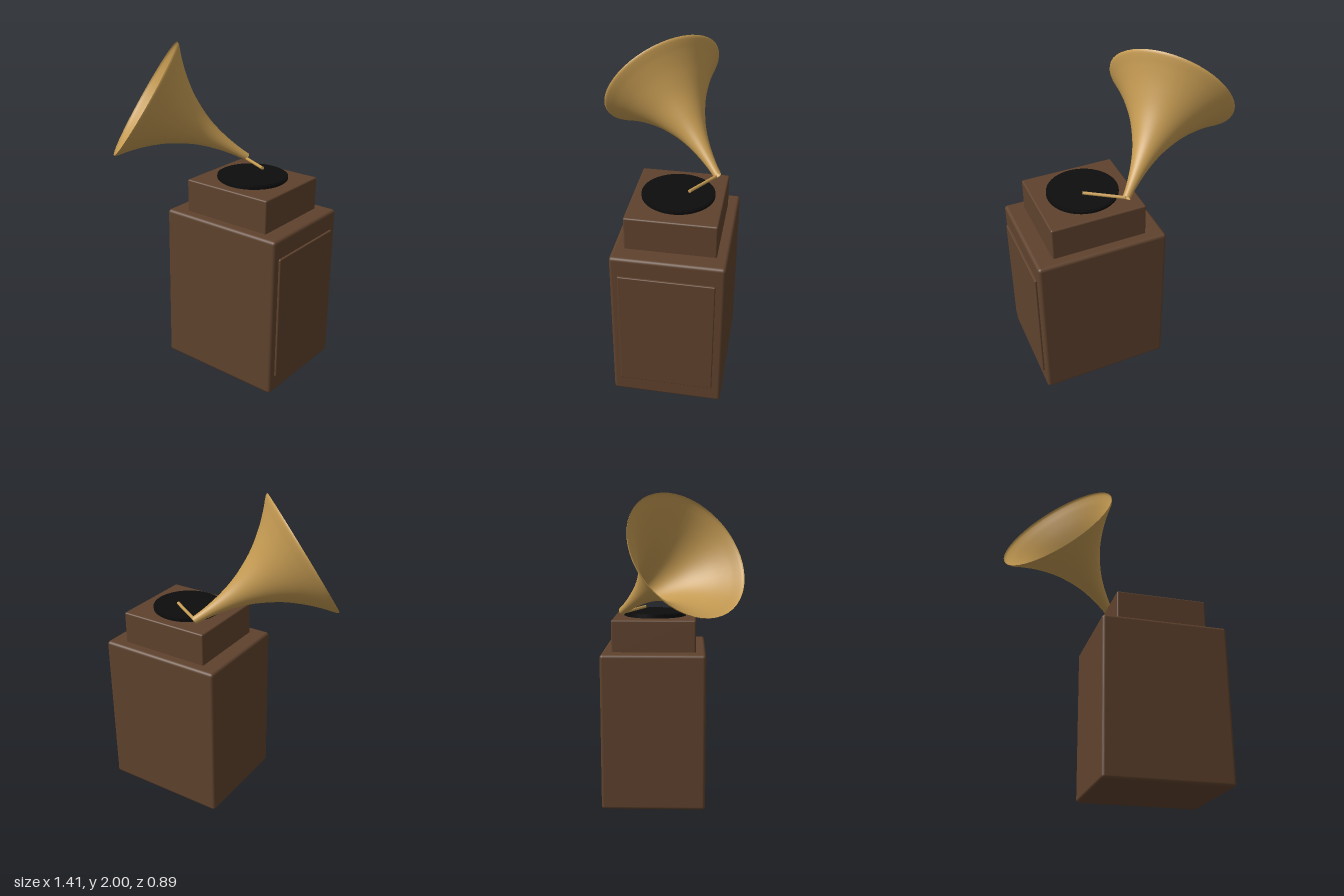
import * as THREE from 'three';
import { RoundedBoxGeometry } from 'three/addons/geometries/RoundedBoxGeometry.js';

const wood = new THREE.MeshStandardMaterial({ color: 0x5f422d });
wood.name = 'walnut wood';
const brass = new THREE.MeshStandardMaterial({ color: 0xc49a52, side: THREE.DoubleSide });
brass.name = 'brass';
const black = new THREE.MeshStandardMaterial({ color: 0x0d0d0d });
black.name = 'black vinyl';

const UP = new THREE.Vector3(0, 1, 0);

export function createModel() {
  const model = new THREE.Group();
  model.name = 'gramophone';

  const add = (name, geometry, material, x, y, z) => {
    const mesh = new THREE.Mesh(geometry, material);
    mesh.name = name;
    mesh.position.set(x, y, z);
    model.add(mesh);
    return mesh;
  };

  // Rounded box given by its limits on each axis
  const box = (name, [x0, x1], [y0, y1], [z0, z1], radius) => add(
    name, new RoundedBoxGeometry(x1 - x0, y1 - y0, z1 - z0, 3, radius), wood,
    (x0 + x1) / 2, (y0 + y1) / 2, (z0 + z1) / 2);

  // Cabinet, turntable case and side door
  box('cabinet', [-0.12, 0.69], [0, 1.015], [-0.445, 0.225], 0.02);
  box('turntableCase', [-0.01, 0.58], [1.005, 1.22], [-0.38, 0.16], 0.01);
  box('sideDoor', [0.68, 0.703], [0.11, 0.895], [-0.39, 0.177], 0.006);

  // Platter with the record on top
  add('platter', new THREE.CylinderGeometry(0.207, 0.207, 0.014, 48), black, 0.285, 1.225, -0.11);
  add('record', new THREE.CylinderGeometry(0.217, 0.217, 0.016, 48), black, 0.285, 1.236, -0.11);
  add('recordTop', new THREE.CylinderGeometry(0.208, 0.208, 0.006, 48), black, 0.285, 1.245, -0.11);

  // Flared horn: open profile (radius, distance along axis) turned about its axis
  const profile = new THREE.SplineCurve([
    [0.024, 0], [0.031, 0.08], [0.05, 0.19], [0.08, 0.3], [0.122, 0.4], [0.184, 0.51],
    [0.267, 0.616], [0.34, 0.69], [0.38, 0.725], [0.401, 0.745], [0.406, 0.758],
  ].map(([r, t]) => new THREE.Vector2(r, t)));
  const tip = new THREE.Vector3(0.09, 1.266, -0.317);
  const mouth = new THREE.Vector3(-0.395, 1.65, 0.106);
  const horn = add('horn', new THREE.LatheGeometry(profile.getPoints(36), 48), brass, tip.x, tip.y, tip.z);
  horn.quaternion.setFromUnitVectors(UP, mouth.clone().sub(tip).normalize());

  // Tone arm reaching from the horn's tip over the record
  const armStart = new THREE.Vector3(0.09, 1.26, -0.306);
  const armEnd = new THREE.Vector3(0.31, 1.273, -0.178);
  const armDir = armEnd.clone().sub(armStart);
  const arm = add('toneArm', new THREE.CylinderGeometry(0.01, 0.01, armDir.length(), 12), brass,
    (armStart.x + armEnd.x) / 2, (armStart.y + armEnd.y) / 2, (armStart.z + armEnd.z) / 2);
  arm.quaternion.setFromUnitVectors(UP, armDir.normalize());

  return model;
}
